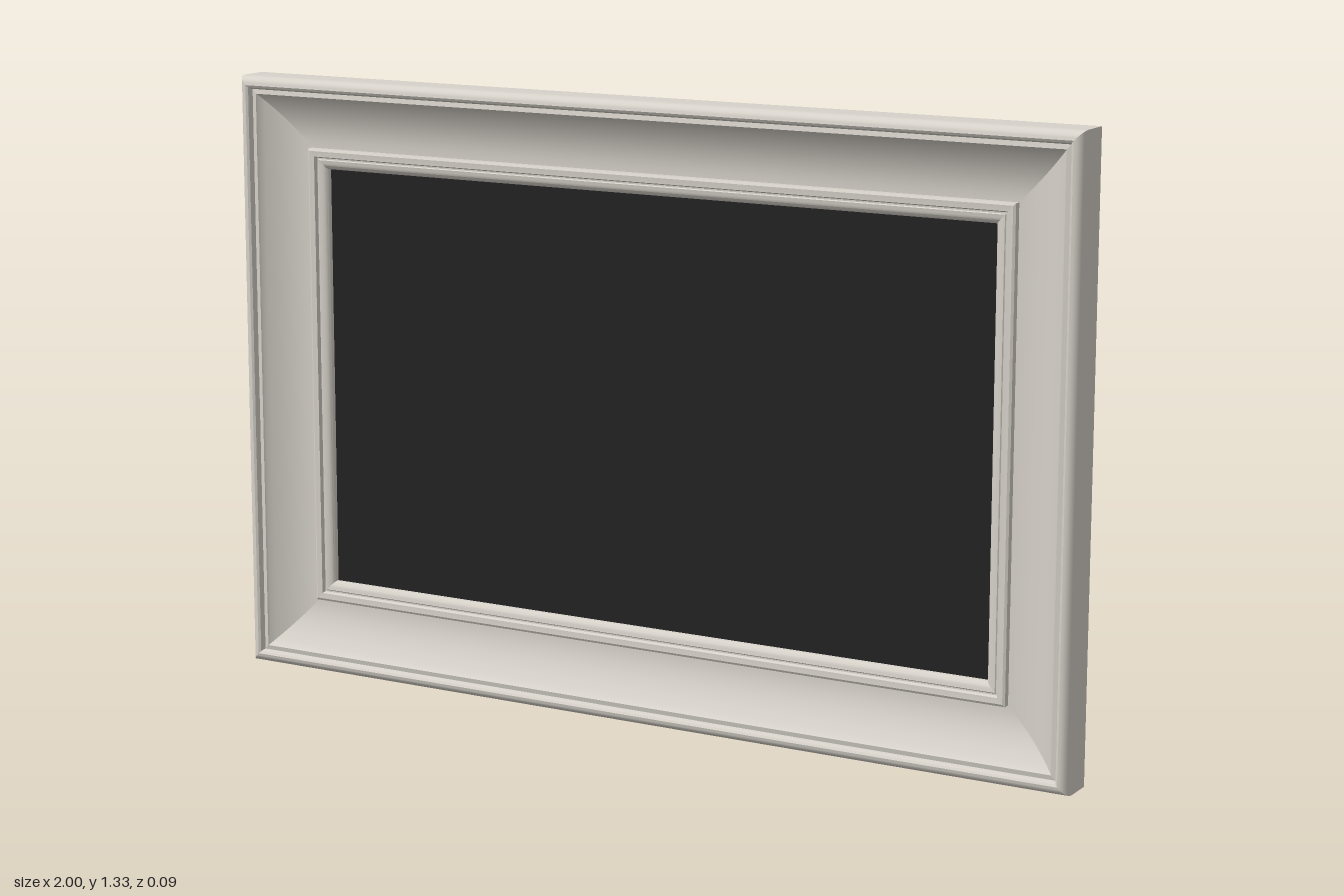
import * as THREE from 'three';
import { toCreasedNormals } from 'three/addons/utils/BufferGeometryUtils.js';

const W = 2, H = 1.33;

function material(name, color) {
  const m = new THREE.MeshStandardMaterial({ color });
  m.name = name;
  return m;
}

// Moulding section as [distance in from the outer edge, z]
function mouldingProfile() {
  const p = [[0, -0.045]];
  // Rounded outer bead
  for (let i = 0; i <= 6; i++) {
    const t = (i / 6) * Math.PI / 2;
    p.push([0.02 * (1 - Math.cos(t)), 0.021 + 0.024 * Math.sin(t)]);
  }
  p.push([0.025, 0.042], [0.028, 0.036], [0.029, 0.031], [0.039, 0.033], [0.042, 0.029]);
  // Broad cove sloping inward
  for (let i = 1; i <= 10; i++) {
    const s = i / 10;
    p.push([0.042 + 0.108 * s, -0.012 + 0.041 * (1 - s) ** 2]);
  }
  // Raised inner step and sight-edge bead
  p.push([0.155, -0.012], [0.155, 0.003], [0.16, 0.006], [0.172, 0.005], [0.175, -0.003], [0.178, -0.003]);
  for (let i = 0; i <= 5; i++) {
    const t = (i / 5) * Math.PI / 2;
    p.push([0.18 + 0.02 * Math.sin(t), -0.013 + 0.012 * Math.cos(t)]);
  }
  // Rabbet at the back
  p.push([0.2, -0.019], [0.156, -0.019], [0.156, -0.045]);
  return p;
}

// Mitred rail: outer edge on y = 0, section running towards -y
function railGeometry(length, profile) {
  const pos = [];
  profile.forEach(([d0, z0], i) => {
    const [d1, z1] = profile[(i + 1) % profile.length];
    const h0 = length / 2 - d0, h1 = length / 2 - d1;
    const a = [-h0, -d0, z0], b = [h0, -d0, z0], c = [h1, -d1, z1], d = [-h1, -d1, z1];
    pos.push(...a, ...d, ...c, ...a, ...c, ...b);
  });
  const g = new THREE.BufferGeometry();
  g.setAttribute('position', new THREE.Float32BufferAttribute(pos, 3));
  return toCreasedNormals(g, 0.5);
}

export function createModel() {
  const model = new THREE.Group();
  model.name = 'pictureFrame';
  const paint = material('warm grey paint', 0xd6d1c9);
  const black = material('black picture', 0x232323);
  const board = material('brown backing', 0x684f32);
  const dark = material('dark metal', 0x2a2a2a);
  const steel = material('steel', 0x9a9a9a);

  const add = (parent, name, geo, mat, x = 0, y = 0, z = 0) => {
    const m = new THREE.Mesh(geo, mat);
    m.name = name;
    m.position.set(x, y, z);
    parent.add(m);
    return m;
  };

  // Four mitred rails
  const profile = mouldingProfile();
  [['topRail', W, 0, H, 0], ['leftRail', H, W / 2, H / 2, -1],
    ['bottomRail', W, 0, 0, 2], ['rightRail', H, -W / 2, H / 2, 1]].forEach(([name, len, x, y, turn]) => {
    add(model, name, railGeometry(len, profile), paint, x, y).rotation.z = turn * Math.PI / 2;
  });

  // Picture and backing board in the rabbet
  add(model, 'picture', new THREE.BoxGeometry(1.67, 1.0, 0.004), black, 0, H / 2, -0.0215);
  add(model, 'backingBoard', new THREE.BoxGeometry(1.686, 1.016, 0.012), board, 0, H / 2, -0.03);

  // Retaining clips around the opening, pointing inward
  const clip = (x, y, angle) => {
    const g = new THREE.Group();
    g.name = 'retainingClip';
    g.position.set(x, y, -0.038);
    g.rotation.z = angle;
    add(g, 'clipPlate', new THREE.BoxGeometry(0.014, 0.036, 0.003), steel, 0, -0.018, 0);
    add(g, 'clipBar', new THREE.BoxGeometry(0.026, 0.008, 0.004), steel, 0, -0.012, -0.001);
    const screw = add(g, 'clipScrew', new THREE.CylinderGeometry(0.006, 0.006, 0.004, 12), dark, 0, -0.026, -0.002);
    screw.rotation.x = Math.PI / 2;
    model.add(g);
  };
  for (const s of [-1, 1]) {
    clip(s * 0.37, H - 0.157, 0);
    clip(s * 0.37, 0.157, Math.PI);
    clip(s * 0.843, H / 2, -s * Math.PI / 2);
  }

  // Hangers with rings
  for (const s of [-1, 1]) {
    const g = new THREE.Group();
    g.name = 'hanger';
    g.position.set(s * 0.575, 0.975, -0.038);
    g.rotation.z = s * 0.12;
    add(g, 'hangerPlate', new THREE.BoxGeometry(0.044, 0.024, 0.005), dark);
    add(g, 'hangerRing', new THREE.TorusGeometry(0.012, 0.0025, 6, 16), steel, -s * 0.029, 0, -0.001);
    const screw = add(g, 'hangerScrew', new THREE.CylinderGeometry(0.006, 0.006, 0.003, 12), steel, s * 0.008, 0, -0.003);
    screw.rotation.x = Math.PI / 2;
    model.add(g);
  }

  // Sagging wire, with a thicker twisted length at each end
  const wirePoint = (x) => new THREE.Vector3(x, 0.917 + 0.053 * (x / 0.54) ** 2, -0.039);
  const span = (x0, x1) => new THREE.CatmullRomCurve3(
    Array.from({ length: 9 }, (_, i) => wirePoint(x0 + (x1 - x0) * i / 8)));
  add(model, 'hangingWire', new THREE.TubeGeometry(span(-0.54, 0.54), 40, 0.003, 6), dark);
  for (const s of [-1, 1]) {
    add(model, 'wireTwist', new THREE.TubeGeometry(span(s * 0.54, s * 0.47), 8, 0.0045, 6), dark);
  }
  return model;
}
